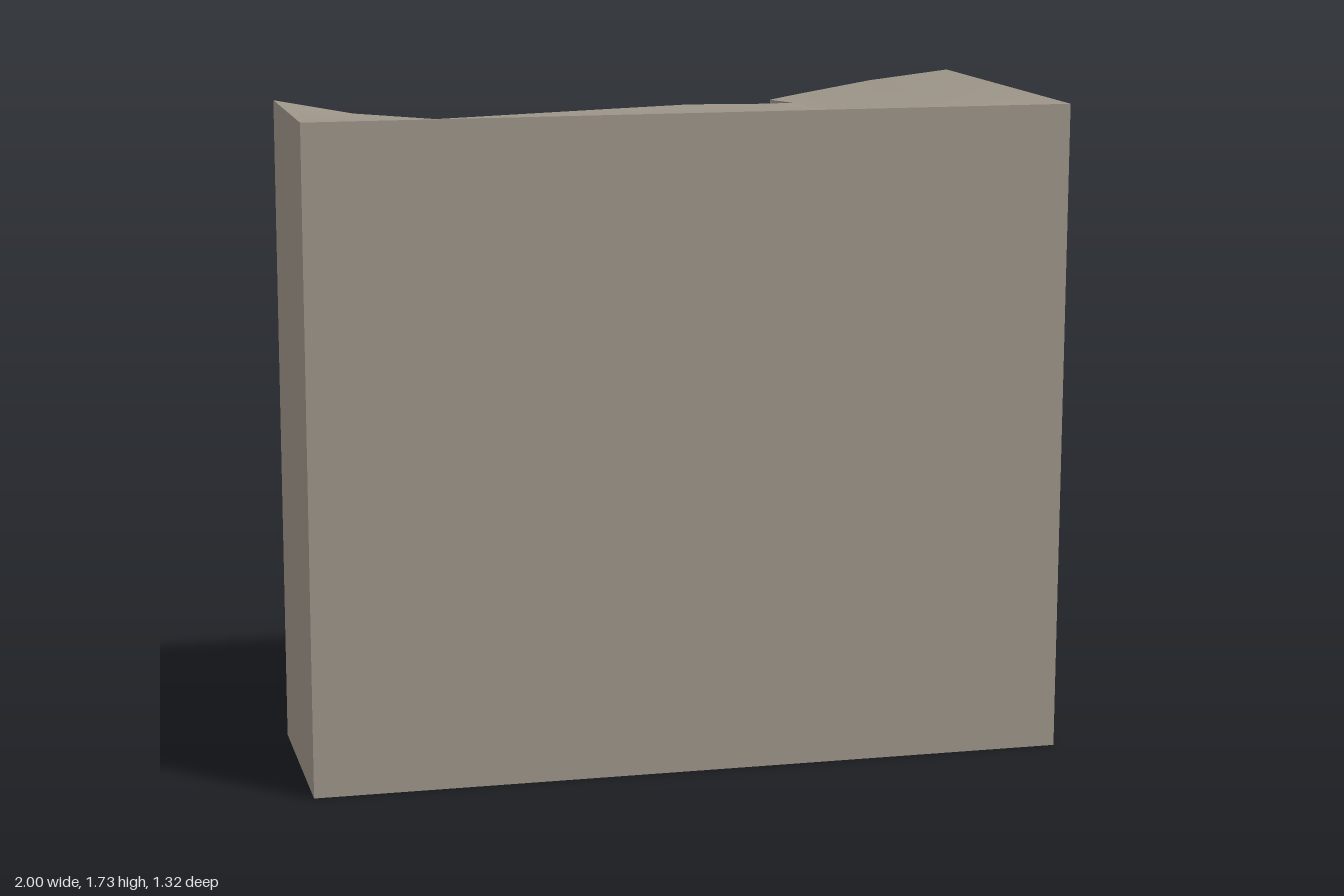
import * as THREE from 'three';

const FRONT = 0.66, TOP = 1.73;

// Surface through rows of points; faceted unless smooth
function sheet(name, rows, material, smooth = false) {
  const cols = rows[0].length, index = [];
  for (let i = 0; i < rows.length - 1; i++) {
    for (let j = 0; j < cols - 1; j++) {
      const a = i * cols + j, b = a + 1, d = a + cols, c = d + 1;
      index.push(b, a, d, b, d, c);
    }
  }
  let geometry = new THREE.BufferGeometry();
  geometry.setAttribute('position', new THREE.Float32BufferAttribute(rows.flat(2), 3));
  geometry.setIndex(index);
  if (!smooth) geometry = geometry.toNonIndexed();
  geometry.computeVertexNormals();
  const mesh = new THREE.Mesh(geometry, material);
  mesh.name = name;
  return mesh;
}

export function createModel() {
  const group = new THREE.Group();
  group.name = 'rockWallCorner';
  const stone = new THREE.MeshStandardMaterial({ color: 0x9d9589, side: THREE.DoubleSide });
  stone.name = 'stone';

  // Back rim of the flat wall and the chamfered inner corner: x, y, z
  const rim = [
    [-1, 1.73, 0.1], [-0.79, 1.69, 0.1], [-0.57, 1.67, 0.1], [-0.13, 1.685, 0.1],
    [0.12, 1.693, 0.1], [0.33, 1.69, 0.1], [0.44, 1.68, 0.0], [0.44, 1.666, -0.23],
  ];

  // Craggy buttress, listed from bottom to top
  const crag = [
    [[0.44, 0, -0.23], [0.55, 0, -0.37], [0.78, 0, -0.38], [1, 0, -0.34]],
    [[0.44, 0.4, -0.23], [0.52, 0.4, -0.62], [0.73, 0.4, -0.66], [1, 0.4, -0.6]],
    [[0.44, 0.71, -0.23], [0.53, 0.7, -0.5], [0.75, 0.73, -0.52], [1, 0.73, -0.49]],
    [[0.44, 1.04, -0.23], [0.54, 1.03, -0.48], [0.77, 1.05, -0.45], [1, 1.06, -0.4]],
    [[0.44, 1.38, -0.23], [0.54, 1.38, -0.42], [0.76, 1.42, -0.41], [1, 1.4, -0.37]],
    [[0.44, 1.666, -0.23], [0.55, 1.664, -0.37], [0.78, 1.7, -0.38], [1, 1.73, -0.34]],
  ];
  group.add(sheet('craggyButtress', crag, stone));

  // Flat back wall with its chamfer
  group.add(sheet('backWall', [rim.map(([x, , z]) => [x, 0, z]), rim], stone));

  // Top surface, sagging gently from the front edge to the back rim
  const edge = [...rim, ...crag.at(-1).slice(1)];
  const steps = 6, topRows = [];
  for (let i = 0; i <= steps; i++) {
    const t = 1 - i / steps;
    topRows.push(edge.map(([x, y, z], j) => {
      const frontX = j === 7 ? 0.5 : j === 8 ? 0.62 : x;
      return [
        THREE.MathUtils.lerp(frontX, x, t),
        TOP - (TOP - y) * Math.sin(t * Math.PI / 2),
        THREE.MathUtils.lerp(FRONT, z, t),
      ];
    }));
  }
  group.add(sheet('topSurface', topRows, stone, true));

  // Flat front and end walls; the underside stays open
  group.add(sheet('frontWall', [
    [[-1, TOP, FRONT], [1, TOP, FRONT]],
    [[-1, 0, FRONT], [1, 0, FRONT]],
  ], stone));
  group.add(sheet('rightEnd', [0, TOP].map(y => [[-1, y, FRONT], [-1, y, 0.1]]), stone));
  group.add(sheet('leftEnd', crag.map(row => [row[3], [1, row[3][1], FRONT]]), stone));

  return group;
}
